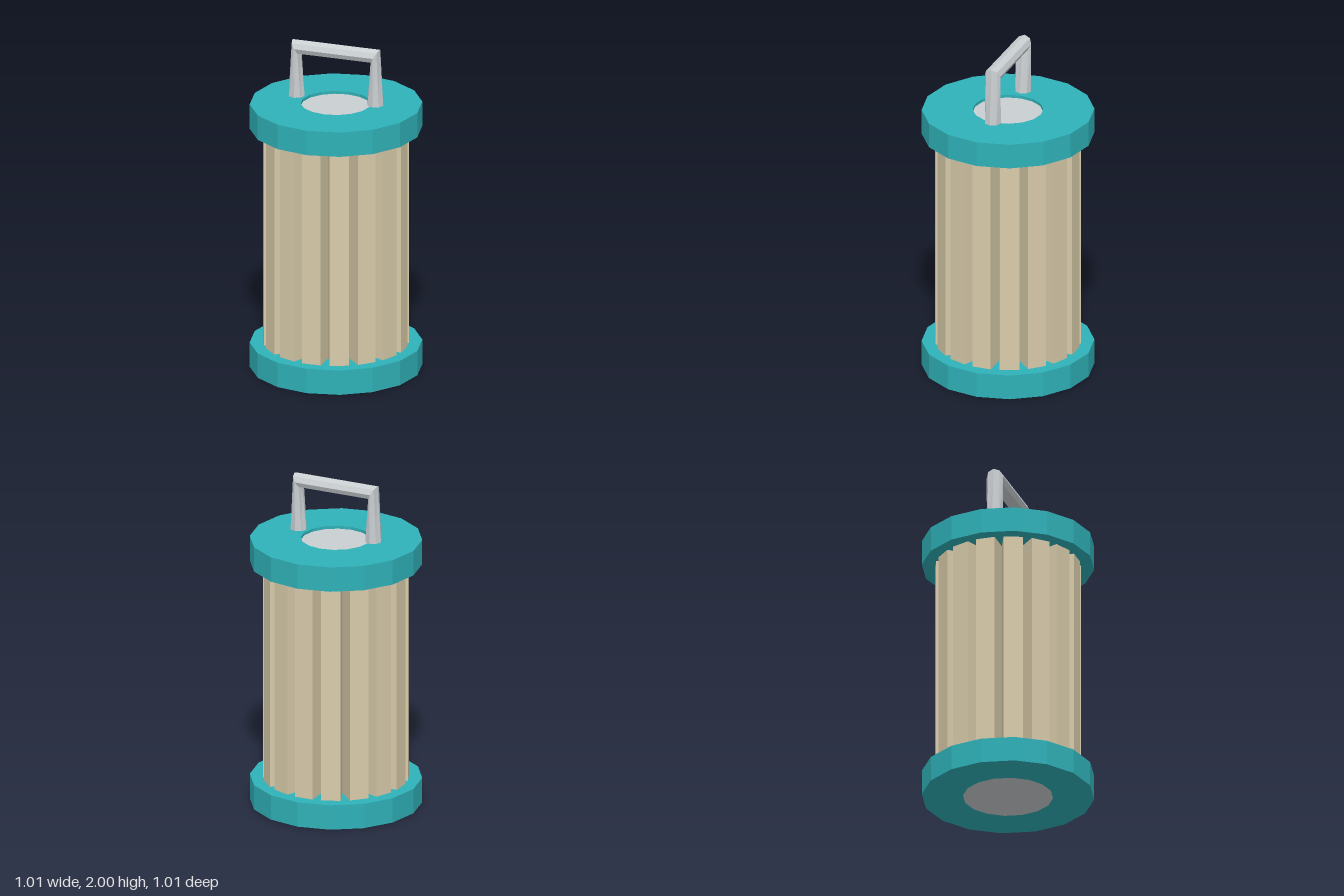
import * as THREE from 'three';

const mat = (name, color) => Object.assign(new THREE.MeshStandardMaterial({ color, flatShading: true }), { name });

export function createModel() {
  const teal = mat('teal', 0x2fb2b8);
  const beige = mat('beige paper', 0xd9ccab);
  const grey = mat('light grey', 0xcacfd2);
  const model = new THREE.Group();
  model.name = 'filterCartridge';

  const add = (name, geometry, material, y = 0) => {
    const mesh = new THREE.Mesh(geometry, material);
    mesh.name = name;
    mesh.position.y = y;
    model.add(mesh);
    return mesh;
  };

  // End caps: sixteen-sided rings
  const ring = (hole) => {
    const R = 0.507, h = 0.152;
    const profile = [[hole, 0], [R, 0], [R, h], [hole, h], [hole, 0]];
    return new THREE.LatheGeometry(profile.map(([x, y]) => new THREE.Vector2(x, y)), 16);
  };
  add('bottomCap', ring(0.265), teal);
  add('topCap', ring(0.207), teal, 1.486);

  // Inner core, flush below and slightly recessed above
  add('core', new THREE.CylinderGeometry(0.265, 0.265, 1.62, 16), grey, 0.81);

  // Pleated filter: sixteen flat teeth with deep V-shaped gaps
  const outline = [];
  for (let i = 0; i < 16; i++) {
    const a = (i * Math.PI) / 8;
    for (const [r, da] of [[0.43, -0.134], [0.43, 0.134], [0.295, Math.PI / 16]]) {
      outline.push(new THREE.Vector2(r * Math.sin(a + da), r * Math.cos(a + da)));
    }
  }
  const pleats = new THREE.ExtrudeGeometry(new THREE.Shape(outline), { depth: 1.38, bevelEnabled: false });
  pleats.rotateX(-Math.PI / 2);
  add('pleatedFilter', pleats, beige, 0.13);

  // Handle: an eight-sided tube bent along four stations, right foot to left foot
  const stations = [
    { x: 0.245, y: 1.657, tx: 0, ty: -1 },
    { x: 0.246, y: 1.96, tx: 0.86, ty: -0.51 },
    { x: -0.246, y: 1.96, tx: 0.86, ty: 0.51 },
    { x: -0.245, y: 1.657, tx: 0, ty: 1 },
  ];
  const handle = new THREE.CylinderGeometry(0.05, 0.05, 1, 8, 3);
  const p = handle.attributes.position;
  for (let i = 0; i < p.count; i++) {
    const s = stations[Math.round((0.5 - p.getY(i)) * 3)];
    const u = p.getX(i);
    p.setXYZ(i, s.x + u * s.ty, s.y - u * s.tx, p.getZ(i));
  }
  handle.computeVertexNormals();
  add('handle', handle, grey);

  return model;
}
